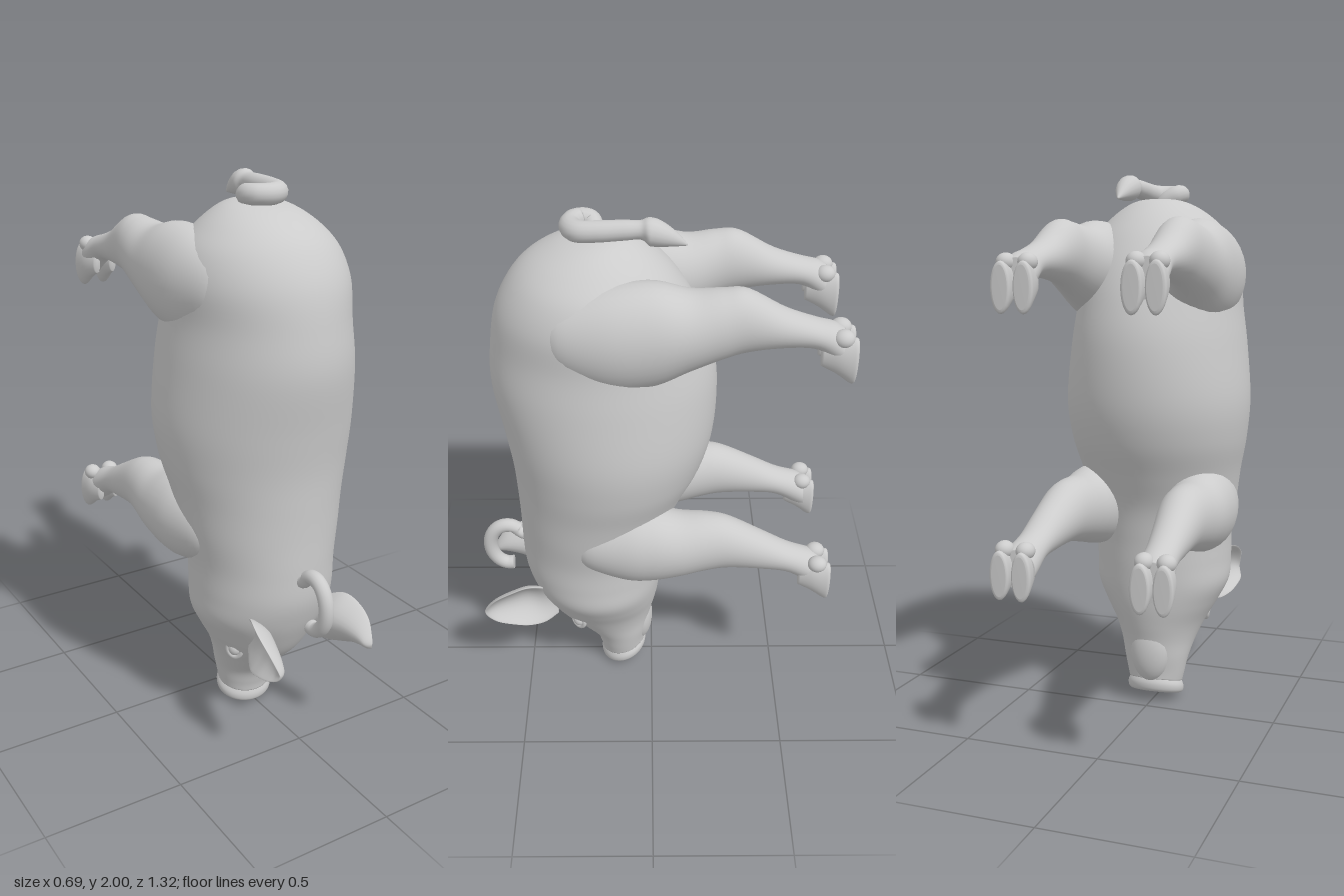
import * as THREE from 'three';

const material = new THREE.MeshStandardMaterial({ color: 0xcccccc });

// Smooth interpolation through the rows of a section table
function sample(rows, u) {
  const t = u * (rows.length - 1), i = Math.min(Math.floor(t), rows.length - 2), f = t - i;
  const at = k => rows[Math.max(0, Math.min(rows.length - 1, k))];
  return rows[0].map((_, c) => {
    const [a, b, d, e] = [at(i - 1)[c], at(i)[c], at(i + 1)[c], at(i + 2)[c]];
    return b + 0.5 * f * (d - a + f * (2 * a - 5 * b + 4 * d - e + f * (3 * (b - d) + e - a)));
  });
}

// Closed skin over rings given by fn(u, angle), capped at both ends and turned outwards
function loft(fn, nu, nv) {
  const p = [], idx = [];
  for (let i = 0; i <= nu; i++)
    for (let j = 0; j < nv; j++) p.push(...fn(i / nu, (j / nv) * Math.PI * 2));
  for (let i = 0; i < nu; i++)
    for (let j = 0; j < nv; j++) {
      const a = i * nv + j, b = i * nv + (j + 1) % nv;
      idx.push(a, b, a + nv, b, b + nv, a + nv);
    }
  for (const [row, flip] of [[0, true], [nu, false]]) {
    const c = p.length / 3, mid = [0, 0, 0];
    for (let j = 0; j < nv; j++) for (let k = 0; k < 3; k++) mid[k] += p[(row * nv + j) * 3 + k] / nv;
    p.push(...mid);
    for (let j = 0; j < nv; j++) {
      const a = row * nv + j, b = row * nv + (j + 1) % nv;
      idx.push(...(flip ? [b, a, c] : [a, b, c]));
    }
  }
  const v = k => new THREE.Vector3().fromArray(p, k * 3);
  let volume = 0;
  for (let k = 0; k < idx.length; k += 3) volume += v(idx[k]).dot(v(idx[k + 1]).cross(v(idx[k + 2])));
  if (volume < 0) idx.reverse();
  const g = new THREE.BufferGeometry();
  g.setAttribute('position', new THREE.Float32BufferAttribute(p, 3));
  g.setIndex(idx);
  g.computeVertexNormals();
  return g;
}

// Tube with a changing radius; rows are x, y, z, radius
function taperTube(rows, nu = 64, nv = 16) {
  const centre = u => new THREE.Vector3(...sample(rows, u));
  const curve = new THREE.CatmullRomCurve3(Array.from({ length: nu + 1 }, (_, i) => centre(i / nu)));
  const frames = curve.computeFrenetFrames(nu);
  return loft((u, a) => {
    const i = Math.round(u * nu), r = sample(rows, u)[3];
    return centre(u).addScaledVector(frames.normals[i], r * Math.cos(a))
      .addScaledVector(frames.binormals[i], r * Math.sin(a)).toArray();
  }, nu, nv);
}

// Limb along z; rows are z, top y, bottom y, inner x, outer x
const limb = (rows, s, nu = 48, nv = 32) => loft((u, a) => {
  const [z, t, b, i, o] = sample(rows, u);
  return [s * ((i + o) / 2 + (o - i) / 2 * Math.cos(a)), (t + b) / 2 + (t - b) / 2 * Math.sin(a), z];
}, nu, nv);

// Body and head; rows are y, back z, belly z, half width, tilt
const bodyRows = [
  [1.932, 0.16, 0.14, 0.01, 0], [1.925, 0.23, 0.08, 0.08, 0], [1.9, 0.32, 0.03, 0.14, 0],
  [1.85, 0.41, -0.03, 0.205, 0], [1.78, 0.475, -0.09, 0.265, 0], [1.68, 0.525, -0.15, 0.3, 0],
  [1.55, 0.55, -0.2, 0.305, 0], [1.4, 0.56, -0.228, 0.325, 0], [1.2, 0.53, -0.222, 0.345, 0],
  [1.05, 0.51, -0.185, 0.333, 0], [0.92, 0.503, -0.125, 0.305, 0], [0.8, 0.5, -0.075, 0.285, 0],
  [0.68, 0.5, -0.055, 0.265, 0], [0.57, 0.495, -0.045, 0.262, 0], [0.48, 0.47, -0.035, 0.258, 0],
  [0.4, 0.435, -0.025, 0.22, 0], [0.32, 0.385, -0.01, 0.175, 0.03], [0.25, 0.31, 0.005, 0.145, 0.08],
  [0.18, 0.24, 0.015, 0.125, 0.16], [0.12, 0.215, 0.025, 0.112, 0.24], [0.085, 0.207, 0.028, 0.104, 0.29],
];

// Snout disc; rows are y, radius scale
const snoutRows = [[0.1, 0.9], [0.085, 1.02], [0.065, 1.1], [0.045, 1.08], [0.035, 0.98],
  [0.034, 0.8], [0.035, 0.6], [0.035, 0.4], [0.035, 0.2], [0.035, 0.01]];

const hindRows = [
  [0.36, 1.72, 1.62, 0.18, 0.23], [0.3, 1.78, 1.54, 0.1, 0.29], [0.15, 1.835, 1.48, 0.06, 0.332],
  [0, 1.85, 1.49, 0.06, 0.336], [-0.12, 1.825, 1.55, 0.08, 0.325], [-0.22, 1.835, 1.595, 0.115, 0.31],
  [-0.3, 1.835, 1.62, 0.13, 0.295], [-0.42, 1.77, 1.637, 0.147, 0.28], [-0.52, 1.735, 1.637, 0.157, 0.277],
  [-0.58, 1.72, 1.6, 0.152, 0.285], [-0.615, 1.7, 1.57, 0.155, 0.285],
];
const foreRows = [
  [0.3, 0.82, 0.74, 0.18, 0.23], [0.24, 0.89, 0.69, 0.12, 0.29], [0.1, 0.94, 0.64, 0.08, 0.328],
  [0, 0.945, 0.64, 0.08, 0.335], [-0.1, 0.925, 0.665, 0.1, 0.33], [-0.2, 0.925, 0.69, 0.12, 0.315],
  [-0.28, 0.91, 0.702, 0.135, 0.305], [-0.4, 0.85, 0.697, 0.157, 0.295], [-0.5, 0.797, 0.685, 0.17, 0.29],
  [-0.58, 0.77, 0.64, 0.168, 0.3], [-0.615, 0.75, 0.62, 0.17, 0.3],
];

// Ear; rows are centre x, z, upper edge y, lower edge y, cup depth
const earRows = [[0.14, 0.37, 0.48, 0.36, 0.02], [0.17, 0.42, 0.525, 0.34, 0.045], [0.2, 0.48, 0.55, 0.35, 0.07],
  [0.215, 0.54, 0.535, 0.37, 0.065], [0.215, 0.6, 0.5, 0.385, 0.045], [0.2, 0.64, 0.45, 0.4, 0.015],
  [0.195, 0.652, 0.425, 0.42, 0]];

export function createModel() {
  const model = new THREE.Group();
  const add = (name, geometry, parent = model) => {
    const mesh = new THREE.Mesh(geometry, material);
    mesh.name = name;
    parent.add(mesh);
    return mesh;
  };
  const blob = (name, pos, radii, parent) => {
    const mesh = add(name, new THREE.SphereGeometry(1, 24, 16), parent);
    mesh.position.set(...pos);
    mesh.scale.set(...radii);
    return mesh;
  };

  add('body', loft((u, a) => {
    const [y, zp, zm, w, tilt] = sample(bodyRows, u);
    const dz = (zp - zm) / 2 * Math.sin(a);
    return [w * Math.cos(a), y - tilt * dz, (zp + zm) / 2 + dz];
  }, 120, 64));

  // Snout with two dented nostrils
  add('snout', loft((u, a) => {
    const [y, r] = sample(snoutRows, u);
    const x = 0.1 * r * Math.cos(a), dz = 0.083 * r * Math.sin(a);
    const d = ((Math.abs(x) - 0.04) / 0.018) ** 2 + (dz / 0.026) ** 2;
    const dent = u > 0.45 ? 0.035 * Math.exp(-d) : 0;
    return [x, y - 0.29 * dz + dent, 0.117 + dz];
  }, 48, 48));
  blob('lowerJaw', [0, 0.22, 0.05], [0.078, 0.125, 0.053]);

  for (const s of [1, -1]) {
    const side = s > 0 ? 'left' : 'right';

    // Cupped ear, open to the outside
    add(side + 'Ear', loft((u, a) => {
      const [x, z, top, bot, cup] = sample(earRows, u);
      const v = Math.cos(a);
      return [s * (x - cup * (1 - v * v) + 0.016 * Math.sin(a) * Math.min(1, (1 - u) * 5)),
        (top + bot) / 2 + (top - bot) / 2 * v, z];
    }, 32, 32));

    // Eye with a raised lid
    const eye = new THREE.Group();
    eye.name = side + 'Eye';
    eye.position.set(s * 0.15, 0.33, 0.29);
    eye.rotation.y = s * 0.95;
    blob('eyeball', [0, 0, 0], [0.023, 0.025, 0.02], eye);
    add('eyelid', new THREE.TorusGeometry(0.027, 0.009, 10, 28), eye).scale.y = 1.2;
    model.add(eye);

    for (const [kind, rows, x, y] of [['Hind', hindRows, 0.22, 1.605], ['Front', foreRows, 0.245, 0.667]]) {
      const leg = new THREE.Group();
      leg.name = side + kind + 'Leg';
      add('limb', limb(rows, s), leg);
      // Cloven hoof and dewclaws
      for (const t of [-1, 1]) {
        const toe = [[-0.54, 0.045, -0.02, 0.02, 0.045], [-0.59, 0.075, -0.045, 0.006, 0.066],
          [-0.635, 0.085, -0.078, 0.004, 0.074], [-0.65, 0.083, -0.08, 0.006, 0.073],
          [-0.655, 0.072, -0.068, 0.012, 0.064]]
          .map(([z, top, bot, i, o]) => [z, y + top, y + bot, x + t * i, x + t * o]);
        add('toe', limb(toe, s, 20, 24), leg);
        blob('dewclaw', [s * (x + t * 0.038), y + 0.082, -0.605], [0.032, 0.03, 0.035], leg);
      }
      model.add(leg);
    }
  }

  // Curled tail ending in a pointed tuft
  add('tail', taperTube([
    [0.01, 1.89, 0.19, 0.03], [-0.02, 1.93, 0.185, 0.032], [-0.055, 1.95, 0.2, 0.034], [-0.05, 1.953, 0.245, 0.035],
    [0, 1.953, 0.262, 0.036], [0.045, 1.955, 0.235, 0.036], [0.058, 1.96, 0.17, 0.035], [0.06, 1.965, 0.09, 0.033],
    [0.062, 1.967, 0.035, 0.031], [0.064, 1.962, 0.005, 0.045], [0.065, 1.95, -0.035, 0.038],
    [0.065, 1.932, -0.08, 0.02], [0.065, 1.917, -0.113, 0.003],
  ], 96));

  // Hooked curl behind the head
  const hook = [];
  for (let k = 0; k <= 10; k++) {
    const a = 0.7 + k * 0.42;
    hook.push([0, 0.602 + 0.097 * Math.sin(a), 0.562 - 0.073 * -Math.cos(a) * -1 - (k === 0 ? -0.02 : 0), 0.027]);
  }
  hook.unshift([0, 0.66, 0.45, 0.027]);
  // Keep the hook's root inside the neck and its bow outside
  hook.forEach((p, i) => { if (i > 0) p[2] = 0.562 - 0.073 * Math.cos(0.7 + (i - 1) * 0.42); });
  add('neckCurl', taperTube(hook, 64, 16));

  return model;
}
